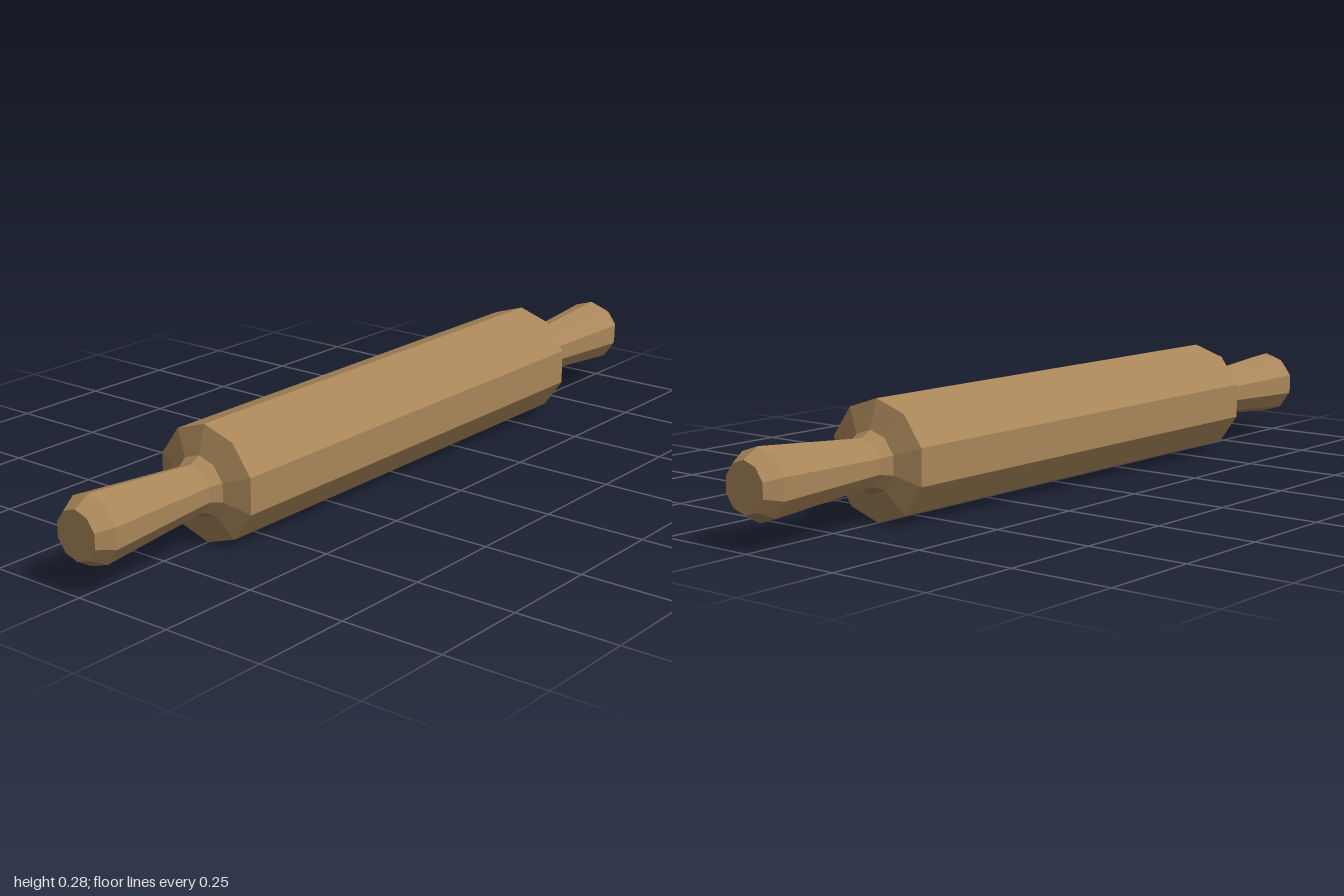
import * as THREE from 'three';

const SIDES = 10;
const RADIUS = 0.139;

// Ten-sided turned part along x; profile is [x, radius] with x increasing
function turned(name, profile, material) {
  const points = profile.map(([x, r]) => new THREE.Vector2(r, x));
  const geometry = new THREE.LatheGeometry(points, SIDES, Math.PI / 2);
  geometry.rotateZ(-Math.PI / 2);
  const mesh = new THREE.Mesh(geometry, material);
  mesh.name = name;
  mesh.position.y = RADIUS;
  return mesh;
}

export function createModel() {
  const group = new THREE.Group();
  group.name = 'rollingPin';
  const wood = new THREE.MeshStandardMaterial({ color: 0xaa875a, flatShading: true });

  // Roller with bevelled ends
  group.add(turned('roller', [
    [-0.632, 0.072], [-0.612, RADIUS], [0.612, RADIUS], [0.632, 0.072],
  ], wood));

  // Handles: collar, narrow neck, flared grip and chamfered end
  const grip = [[0.632, 0.072], [0.66, 0.057], [0.96, 0.081], [1, 0.058], [1, 0]];
  const left = turned('leftHandle', grip, wood);
  const right = turned('rightHandle', grip, wood);
  right.rotation.y = Math.PI;
  group.add(left, right);

  return group;
}
